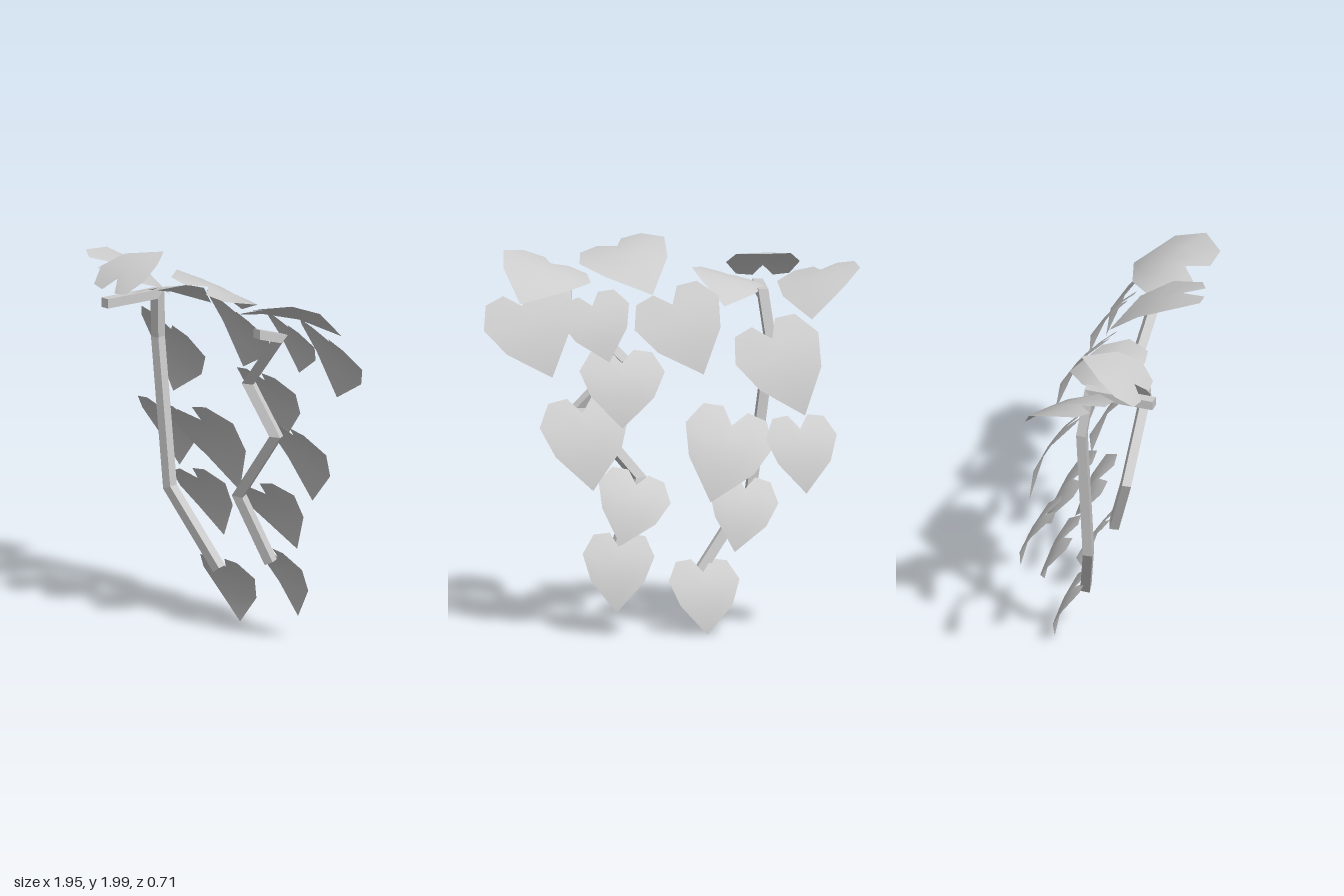
import * as THREE from 'three';
import { mergeVertices } from 'three/addons/utils/BufferGeometryUtils.js';

const V = (a) => new THREE.Vector3(...a);

// Half of the heart outline, [across, along], and the midrib position of each row
const OUTLINE = [[0, 0], [0.14, -0.24], [0.36, -0.2], [0.5, 0.13], [0.37, 0.54], [0, 1]];
const MIDRIB = [0, 0.06, 0.14, 0.3, 0.6, 1];

// Heart leaf arched from its notch to its tip; across points to its +x side
function leafGeometry(notch, tip, across, width) {
  const along = tip.clone().sub(notch);
  const length = along.length();
  along.normalize();
  const side = across.clone().addScaledVector(along, -across.dot(along)).normalize();
  const normal = side.clone().cross(along);
  const pos = [], index = [], cols = 5;
  OUTLINE.forEach(([ou, ov], r) => {
    for (let j = 0; j < cols; j++) {
      const t = j / 2 - 1;
      const u = ou * t;
      const v = MIDRIB[r] + (ov - MIDRIB[r]) * Math.abs(t);
      const lift = 0.4 * v * (1 - v) * length - 0.04 * u * u * width;
      const p = notch.clone().addScaledVector(side, u * width)
        .addScaledVector(along, v * length).addScaledVector(normal, lift);
      pos.push(p.x, p.y, p.z);
      if (r && j) {
        const d = r * cols + j, c = d - 1, b = d - cols, a = b - 1;
        index.push(a, b, c, b, d, c);
      }
    }
  });
  let g = new THREE.BufferGeometry();
  g.setAttribute('position', new THREE.Float32BufferAttribute(pos, 3));
  g.setIndex(index);
  g = mergeVertices(g, 1e-5);
  g.computeVertexNormals();
  return g;
}

// Square bar swept along a path with mitred corners and flat ends
function stemGeometry(points, w, h) {
  const path = points.map(V);
  let ring = [[-w, -h], [w, -h], [w, h], [-w, h]]
    .map(([x, y]) => path[0].clone().add(new THREE.Vector3(x / 2, y / 2, 0)));
  const pos = [];
  const quad = (a, b, c, d) => [a, b, c, a, c, d].forEach((p) => pos.push(p.x, p.y, p.z));
  quad(...ring);
  for (let i = 1; i < path.length; i++) {
    const dir = path[i].clone().sub(path[i - 1]).normalize();
    const miter = dir.clone();
    if (i < path.length - 1) miter.add(path[i + 1].clone().sub(path[i]).normalize());
    const next = ring.map((c) => c.clone().addScaledVector(
      dir, path[i].clone().sub(c).dot(miter) / dir.dot(miter)));
    for (let k = 0; k < 4; k++) {
      const m = (k + 1) % 4;
      quad(ring[k], next[k], next[m], ring[m]);
    }
    ring = next;
  }
  quad(ring[3], ring[2], ring[1], ring[0]);
  const g = new THREE.BufferGeometry();
  g.setAttribute('position', new THREE.Float32BufferAttribute(pos, 3));
  g.computeVertexNormals();
  return g;
}

// notch, tip, across direction, width
const RIGHT_LEAVES = [
  [[-0.155, 0.32, -0.235], [-0.17, 0.01, -0.34], [1, -0.07, -0.15], 0.37],
  [[-0.37, 0.75, -0.22], [-0.31, 0.44, -0.345], [1, 0.15, -0.07], 0.365],
  [[-0.655, 1.06, -0.22], [-0.68, 0.74, -0.345], [1, -0.1, -0.12], 0.37],
  [[-0.305, 1.075, -0.19], [-0.185, 0.7, -0.35], [1, 0.17, 0], 0.47],
  [[-0.515, 1.52, -0.16], [-0.675, 1.14, -0.3], [1, -0.4, -0.2], 0.465],
  [[0, 1.705, -0.18], [-0.15, 1.365, -0.345], [1, -0.38, -0.12], 0.47],
  [[-0.49, 1.85, 0.21], [-0.48, 1.95, -0.085], [1, 0, 0], 0.38],
  [[-0.775, 1.85, 0.02], [-0.71, 1.64, -0.31], [0.42, -0.09, 0.13], 0.45],
  [[-0.305, 1.82, 0.09], [-0.265, 1.7, -0.225], [0.33, 0.07, -0.04], 0.39],
];
const LEFT_LEAVES = [
  [[0.28, 0.455, -0.235], [0.3, 0.13, -0.35], [1, 0, 0.08], 0.37],
  [[0.19, 0.775, -0.225], [0.28, 0.48, -0.36], [1, 0.42, 0.02], 0.39],
  [[0.465, 1.145, -0.19], [0.42, 0.765, -0.35], [1, -0.05, 0], 0.46],
  [[0.26, 1.4, -0.165], [0.265, 1.08, -0.3], [1, 0, 0], 0.44],
  [[0.415, 1.705, -0.2], [0.335, 1.43, -0.33], [1, -0.27, -0.05], 0.37],
  [[0.775, 1.705, -0.18], [0.63, 1.355, -0.345], [1, -0.38, -0.12], 0.47],
  [[0.61, 1.885, 0.095], [0.79, 1.725, -0.25], [0.43, 0.155, 0.17], 0.49],
  [[0.26, 1.955, 0.205], [0.1, 1.75, -0.14], [0.46, -0.14, -0.17], 0.48],
];
const RIGHT_STEM = [[-0.47, 1.74, 0.31], [-0.475, 1.74, -0.04], [-0.51, 1.5, -0.07],
  [-0.41, 0.72, -0.07], [-0.14, 0.32, -0.18]];
const LEFT_STEM = [[0.53, 1.74, 0.1], [0.54, 1.7, -0.04], [0.245, 1.4, -0.07],
  [0.475, 1.16, -0.07], [0.165, 0.79, -0.07], [0.29, 0.44, -0.18]];

export function createModel() {
  const grey = new THREE.MeshStandardMaterial({ color: 0xcccccc, side: THREE.DoubleSide });
  grey.name = 'pale grey';
  const model = new THREE.Group();
  model.name = 'climbingVine';

  // Each vine is one bent stem with its leaves
  const addVine = (name, stemPath, leaves) => {
    const vine = new THREE.Group();
    vine.name = name;
    const stem = new THREE.Mesh(stemGeometry(stemPath, 0.052, 0.05), grey);
    stem.name = 'stem';
    vine.add(stem);
    leaves.forEach(([notch, tip, across, width], i) => {
      const leaf = new THREE.Mesh(leafGeometry(V(notch), V(tip), V(across), width), grey);
      leaf.name = `leaf${i + 1}`;
      vine.add(leaf);
    });
    model.add(vine);
  };
  addVine('rightVine', RIGHT_STEM, RIGHT_LEAVES);
  addVine('leftVine', LEFT_STEM, LEFT_LEAVES);
  return model;
}
